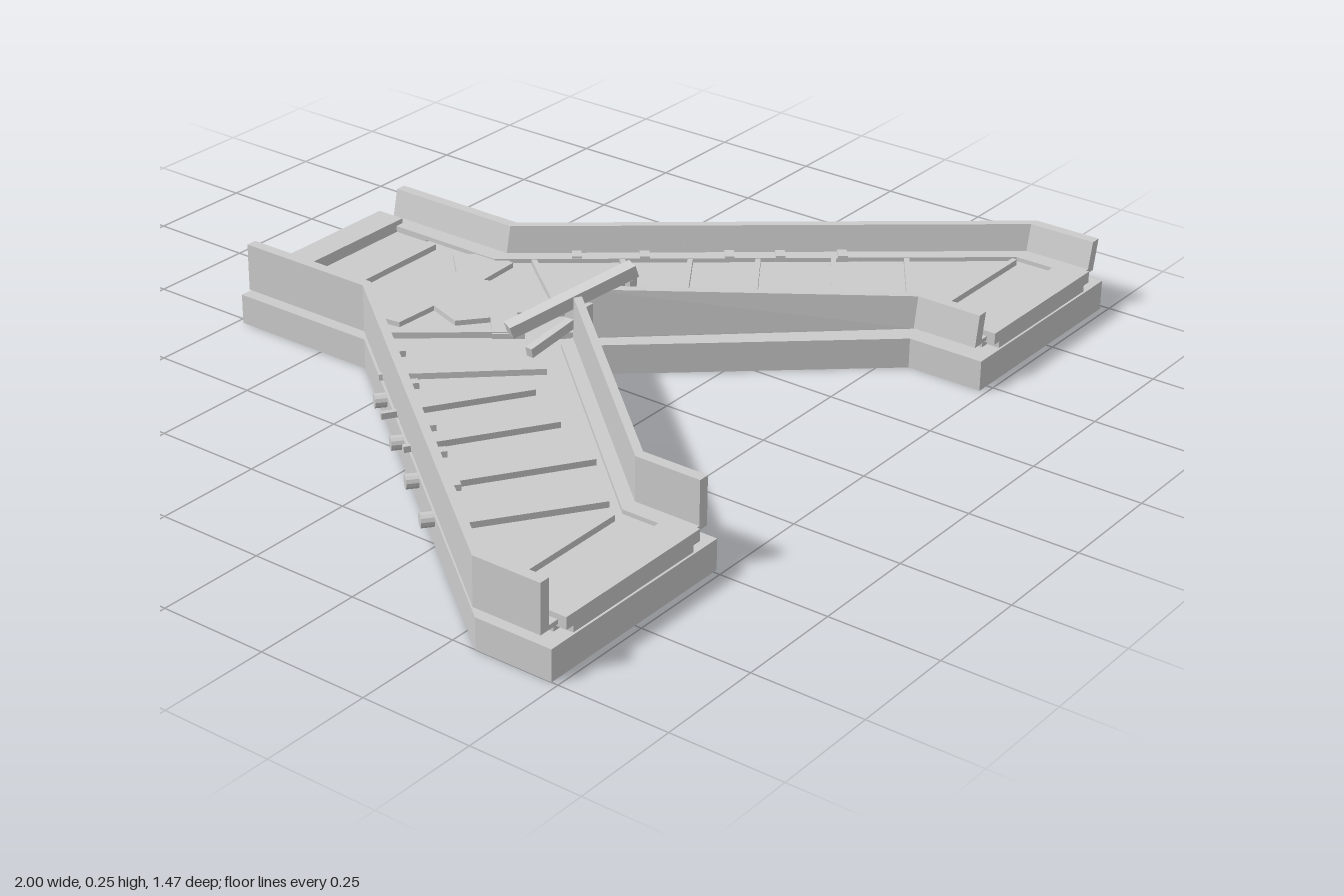
import * as THREE from 'three';

const mat = new THREE.MeshStandardMaterial({ color: 0xcccccc, flatShading: true });

export function createModel() {
  const model = new THREE.Group();

  function add(name, geometry) {
    const mesh = new THREE.Mesh(geometry, mat);
    mesh.name = name;
    model.add(mesh);
    return mesh;
  }

  // Flat plate from an [x, z] outline, between heights y0 and y1
  function plate(name, outline, y0, y1, hole) {
    const toShape = pts => pts.map(([x, z]) => new THREE.Vector2(x, -z));
    const shape = new THREE.Shape(toShape(outline));
    if (hole) shape.holes.push(new THREE.Path(toShape(hole)));
    const g = new THREE.ExtrudeGeometry(shape, { depth: y1 - y0, bevelEnabled: false });
    g.rotateX(-Math.PI / 2);
    g.translate(0, y0, 0);
    return add(name, g);
  }

  // Strip swept along an [x, z, top] path running front to back
  function strip(name, path, width, y0, lean = 0) {
    const pos = [], index = [];
    const tri = (a, b, c) => (width > 0 ? index.push(a, b, c) : index.push(a, c, b));
    path.forEach(([x, z, top]) => {
      pos.push(x, y0, z, x + lean, top, z, x + width + lean, top, z, x + width, y0, z);
    });
    for (let i = 0; i < path.length - 1; i++) {
      for (let j = 0; j < 4; j++) {
        const a = i * 4 + j, b = i * 4 + (j + 1) % 4;
        tri(a, b, b + 4);
        tri(a, b + 4, a + 4);
      }
    }
    const e = (path.length - 1) * 4;
    tri(0, 2, 1); tri(0, 3, 2);
    tri(e, e + 1, e + 2); tri(e, e + 2, e + 3);
    let g = new THREE.BufferGeometry();
    g.setAttribute('position', new THREE.Float32BufferAttribute(pos, 3));
    g.setIndex(index);
    g = g.toNonIndexed();
    g.computeVertexNormals();
    return add(name, g);
  }

  // Box running between two points
  function bar(name, from, to, width, height) {
    const a = new THREE.Vector3(...from), b = new THREE.Vector3(...to);
    const mesh = add(name, new THREE.BoxGeometry(width, height, a.distanceTo(b)));
    mesh.position.copy(a).add(b).multiplyScalar(0.5);
    mesh.lookAt(b);
    return mesh;
  }

  function box(name, x0, x1, y0, y1, z0, z1) {
    const mesh = add(name, new THREE.BoxGeometry(x1 - x0, y1 - y0, z1 - z0));
    mesh.position.set((x0 + x1) / 2, (y0 + y1) / 2, (z0 + z1) / 2);
    return mesh;
  }

  // Forked base slab and the inset deck on top of it
  plate('base', [[-1, 0.735], [-0.49, 0.735], [-0.49, 0.555], [0, 0.015], [0.47, 0.555], [0.47, 0.735],
    [0.985, 0.735], [0.985, 0.555], [0.25, -0.37], [0.25, -0.735], [-0.265, -0.735], [-0.265, -0.37],
    [-1, 0.555]], 0, 0.07);
  plate('deck', [[-0.95, 0.7], [-0.54, 0.7], [-0.54, 0.55], [-0.01, -0.05], [0.53, 0.55], [0.53, 0.7],
    [0.93, 0.7], [0.93, 0.55], [0.2, -0.36], [0.2, -0.7], [-0.215, -0.7], [-0.215, -0.36],
    [-0.95, 0.55]], 0.068, 0.085);

  // Side walls: the left ones are upright and taller, the right ones lean
  const paths = {
    leftOuter: [[-1, 0.71], [-1, 0.55], [-0.265, -0.37], [-0.265, -0.71]],
    rightOuter: [[0.984, 0.71], [0.984, 0.55], [0.244, -0.37], [0.244, -0.71]],
    leftInner: [[-0.49, 0.71], [-0.49, 0.555], [0, 0.015]],
    rightInner: [[0.483, 0.71], [0.483, 0.555], [0, 0.015]],
  };
  const walls = [
    ['leftOuter', 1, 0, [0.2, 0.2, 0.2, 0.2]],
    ['rightOuter', -1, 0.016, [0.162, 0.162, 0.162, 0.162]],
    ['leftInner', -1, 0, [0.2, 0.2, 0.2]],
    ['rightInner', 1, 0.012, [0.162, 0.162, 0.2]],
  ];
  for (const [key, side, lean, tops] of walls) {
    strip(key + 'Wall', paths[key].map(([x, z], i) => [x, z, tops[i]]), side * 0.025, 0.09, lean);
    // Low ledge at the foot of the wall
    strip(key + 'Ledge', paths[key].map(([x, z]) => [x + side * 0.02, z, 0.1]), side * 0.045, 0.09);
  }

  // End stops, each a wide bar on a narrower foot
  for (const [name, x0, x1, z0, z1] of [
    ['leftEnd', -0.95, -0.54, 0.655, 0.73],
    ['rightEnd', 0.53, 0.93, 0.655, 0.73],
    ['backEnd', -0.215, 0.2, -0.735, -0.665],
  ]) {
    box(name + 'Bar', x0, x1, 0.085, 0.112, z0, z1);
    box(name + 'Foot', x0 + 0.02, x1 - 0.02, 0.068, 0.085, z0, z1);
  }
  box('backFootPlate', 0.18, 0.215, 0.07, 0.09, -0.71, -0.575);

  // Cross ribs on the deck
  const ribY = 0.092;
  bar('backRib', [-0.17, ribY, -0.535], [0.16, ribY, -0.535], 0.012, 0.014);
  for (const s of [-1, 1]) {
    for (const [x0, z0, x1, z1] of [
      [0.91, 0.55, 0.58, 0.55],
      [0.8, 0.33, 0.54, 0.51],
      [0.7, 0.2, 0.42, 0.385],
      [0.62, 0.05, 0.34, 0.23],
      [0.54, -0.08, 0.26, 0.1],
      [0.41, -0.2, 0.17, 0.06],
      [0.25, -0.32, 0.08, -0.11],
    ]) bar('crossRib', [s * x0, ribY, z0], [s * x1, ribY, z1], 0.012, 0.014);

    // Pegs on the outer flanks and small clips on the outer ledges
    const dir = new THREE.Vector3(s * 0.78, 0, -0.62);
    for (const z of [-0.165, -0.015, 0.115, 0.24]) {
      const edge = 0.265 + (z + 0.37) * 0.799 - (s > 0 ? 0.015 : 0);
      const peg = add('sidePeg', new THREE.CylinderGeometry(0.016, 0.016, 0.05, 12));
      peg.position.set(s * edge, 0.056, z);
      peg.quaternion.setFromUnitVectors(new THREE.Vector3(0, 1, 0), dir);
    }
    for (const z of [-0.25, -0.13, 0.02, 0.11, 0.22]) {
      const x = 0.205 + (z + 0.37) * 0.799;
      bar('ledgeClip', [s * (x + 0.025), 0.098, z], [s * (x - 0.005), 0.098, z + 0.024], 0.022, 0.014);
    }
  }
  box('wallPin', 0.475, 0.497, 0.115, 0.125, -0.075, -0.06);

  // Junction plate: winged top with crossed lower arms and a small cut-out
  const half = [[0.08, -0.4], [0.145, -0.465], [0.205, -0.4], [0.195, -0.33], [0.085, -0.325], [0.115, -0.24],
    [0.055, -0.19], [0.115, -0.135], [0.07, -0.08], [0, -0.16]];
  plate('junctionPlate', [...half, ...half.slice(0, -1).reverse().map(([x, z]) => [-x, z])], 0.084, 0.097,
    [[-0.012, -0.325], [0.012, -0.325], [0, -0.305]]);

  // Crossed switch levers at the fork
  bar('upperLever', [-0.15, 0.142, -0.06], [0.105, 0.235, 0.08], 0.035, 0.028);
  bar('lowerLever', [-0.155, 0.11, 0], [0.15, 0.17, 0.03], 0.018, 0.022);
  box('lowerLeverTip', 0.13, 0.155, 0.155, 0.185, 0.015, 0.05);
  box('leverPivot', -0.03, 0.02, 0.12, 0.17, 0, 0.035);

  return model;
}
